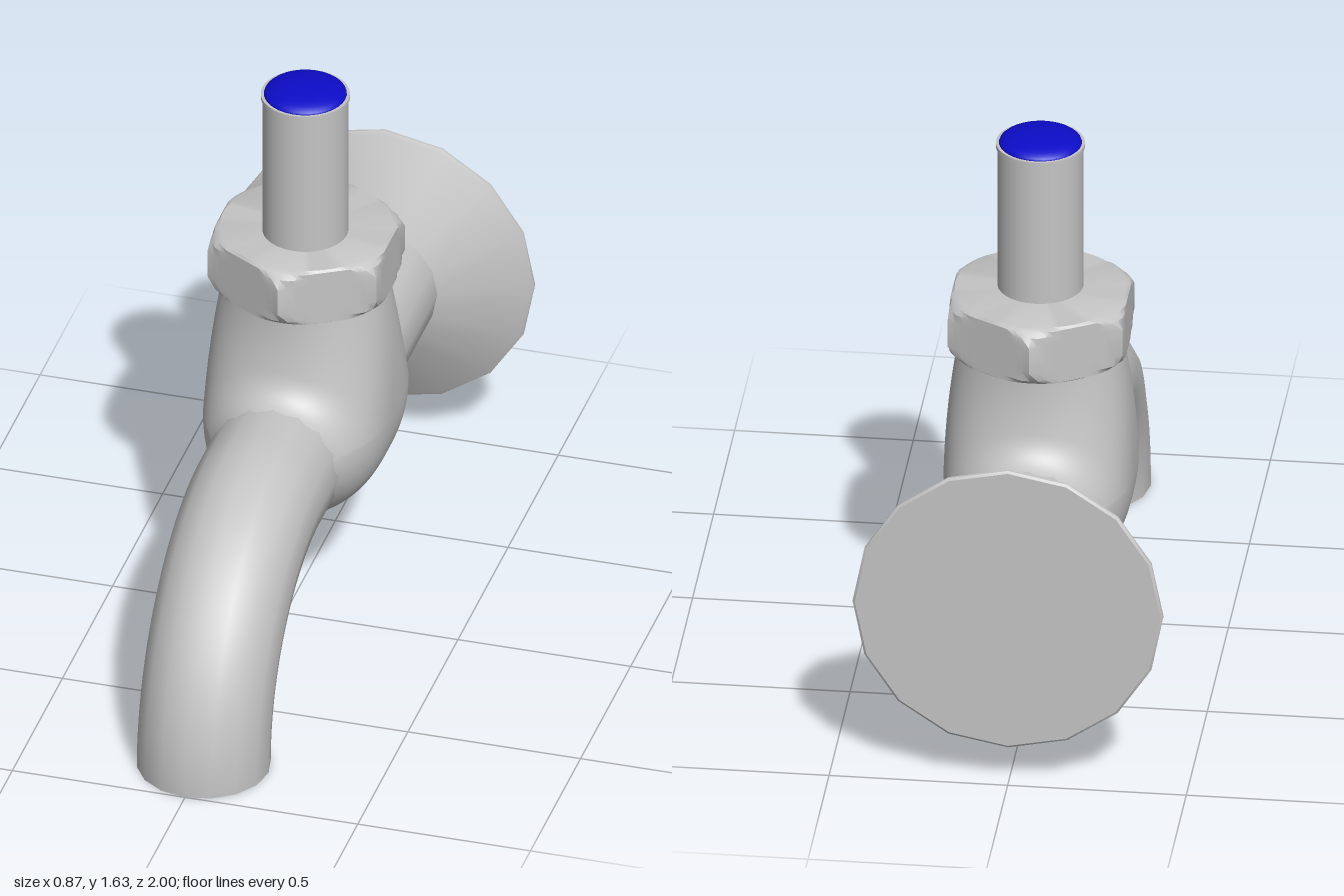
import * as THREE from 'three';
import { toCreasedNormals } from 'three/addons/utils/BufferGeometryUtils.js';

const PIPE_R = 0.1875, PIPE_Y = 0.552, BODY_Z = -0.205;

// Implicit valve body: bulged chamber with a neck, blended into the pipe
function bodyField(x, y, z) {
  const pipe = Math.hypot(x, y - PIPE_Y) - 0.18;
  const t = THREE.MathUtils.clamp((y - 0.6) / 0.38, 0, 1);
  const rx = 0.265 - 0.035 * t * t;
  const rz = 0.325 - 0.08 * Math.sin(t * Math.PI / 2);
  const low = Math.max(0, (0.6 - y) / 0.295);
  const g = Math.pow(Math.abs(x) / rx, 2.2 - 0.2 * t)
    + Math.pow(Math.abs(z) / rz, 3 - t) + Math.pow(low, 2.2);
  const chamber = (Math.pow(g, 1 / 2.2) - 1) * 0.26;
  const k = 0.09, h = Math.max(k - Math.abs(pipe - chamber), 0);
  return Math.min(pipe, chamber) - h * h / (4 * k);
}

// Push every vertex of a sphere out to the surface of the field
function bodyGeometry() {
  const geo = new THREE.SphereGeometry(1, 96, 80);
  const pos = geo.attributes.position, nor = geo.attributes.normal;
  const d = new THREE.Vector3(), p = new THREE.Vector3(), n = new THREE.Vector3();
  const cy = 0.58, e = 0.002;
  for (let i = 0; i < pos.count; i++) {
    d.fromBufferAttribute(pos, i).normalize();
    let a = 0, b = 0.9;
    for (let s = 0; s < 26; s++) {
      const m = (a + b) / 2;
      p.copy(d).multiplyScalar(m);
      p.y += cy;
      const inside = Math.abs(p.z) < 0.42 && p.y < 1.06 && bodyField(p.x, p.y, p.z) < 0;
      if (inside) a = m; else b = m;
    }
    p.copy(d).multiplyScalar(a);
    p.y += cy;
    n.set(
      bodyField(p.x + e, p.y, p.z) - bodyField(p.x - e, p.y, p.z),
      bodyField(p.x, p.y + e, p.z) - bodyField(p.x, p.y - e, p.z),
      bodyField(p.x, p.y, p.z + e) - bodyField(p.x, p.y, p.z - e)).normalize();
    pos.setXYZ(i, p.x, p.y, p.z);
    nor.setXYZ(i, n.x, n.y, n.z);
  }
  return geo;
}

// Hexagonal nut whose corners are trimmed by a round chamfer
function nutGeometry() {
  const rings = [[0, 0.972], [0.235, 0.972], [0.252, 0.98], [0.268, 0.995], [0.283, 1.025],
    [0.283, 1.105], [0.268, 1.13], [0.254, 1.143], [0.24, 1.15], [0, 1.15]];
  const geo = new THREE.LatheGeometry(rings.map(([r, y]) => new THREE.Vector2(r, y)), 72);
  const pos = geo.attributes.position, apothem = 0.245;
  for (let i = 0; i < pos.count; i++) {
    const x = pos.getX(i), z = pos.getZ(i), r = Math.hypot(x, z);
    if (r < 0.01) continue;
    // Flats face +x and -x, corners point along z
    const sector = Math.PI / 3, ang = Math.atan2(z, x);
    const off = ang - Math.round(ang / sector) * sector;
    const s = Math.min(1, apothem / Math.cos(off) / r);
    pos.setX(i, x * s);
    pos.setZ(i, z * s);
  }
  return toCreasedNormals(geo, 0.5);
}

export function createModel() {
  const metal = new THREE.MeshStandardMaterial({ color: 0xc4c4c4, side: THREE.DoubleSide });
  metal.name = 'greyMetal';
  const blue = new THREE.MeshStandardMaterial({ color: 0x0c0cc8 });
  blue.name = 'blueCap';

  const group = new THREE.Group();
  group.name = 'tap';
  const add = (name, geo, mat, x = 0, y = 0, z = 0) => {
    const mesh = new THREE.Mesh(geo, mat);
    mesh.name = name;
    mesh.position.set(x, y, z);
    group.add(mesh);
    return mesh;
  };

  add('valveBody', bodyGeometry(), metal, 0, 0, BODY_Z);

  // Straight inlet pipe from the wall plate into the body
  const inlet = new THREE.CylinderGeometry(PIPE_R, PIPE_R, 0.6, 16, 1, true).rotateX(Math.PI / 2);
  add('inletPipe', inlet, metal, 0, PIPE_Y, -0.6);

  // Spout: short straight run, then a quarter bend down to an open mouth
  const path = new THREE.CurvePath();
  const zBend = 0.25, zEnd = 1 - PIPE_R, k = 0.5523;
  path.add(new THREE.LineCurve3(
    new THREE.Vector3(0, PIPE_Y, -0.15), new THREE.Vector3(0, PIPE_Y, zBend)));
  path.add(new THREE.CubicBezierCurve3(
    new THREE.Vector3(0, PIPE_Y, zBend),
    new THREE.Vector3(0, PIPE_Y, zBend + (zEnd - zBend) * k),
    new THREE.Vector3(0, PIPE_Y * k, zEnd),
    new THREE.Vector3(0, 0, zEnd)));
  add('spout', new THREE.TubeGeometry(path, 48, PIPE_R, 16), metal);

  // Sixteen-sided conical wall plate with a thin rim
  const plate = [[0.185, 0.13], [0.425, 0.018], [0.435, 0.012], [0.435, 0.005], [0.428, 0], [0, 0]]
    .reverse().map(([r, y]) => new THREE.Vector2(r, y));
  const plateGeo = toCreasedNormals(new THREE.LatheGeometry(plate, 16).rotateX(Math.PI / 2), 0.5);
  add('wallPlate', plateGeo, metal, 0, PIPE_Y, -1);

  add('hexNut', nutGeometry(), metal, 0, 0, BODY_Z - 0.003);

  // Stem with a fine rim and a domed cap
  const stemX = 0.004, stemZ = -0.187;
  add('stem', new THREE.CylinderGeometry(0.12, 0.12, 0.46, 32), metal, stemX, 1.36, stemZ);
  add('stemRim', new THREE.CylinderGeometry(0.124, 0.124, 0.012, 48), metal, stemX, 1.59, stemZ);
  const dome = new THREE.SphereGeometry(1, 32, 8, 0, Math.PI * 2, 0, Math.PI / 2).scale(0.116, 0.03, 0.116);
  add('stemCap', dome, blue, stemX, 1.595, stemZ);

  return group;
}
